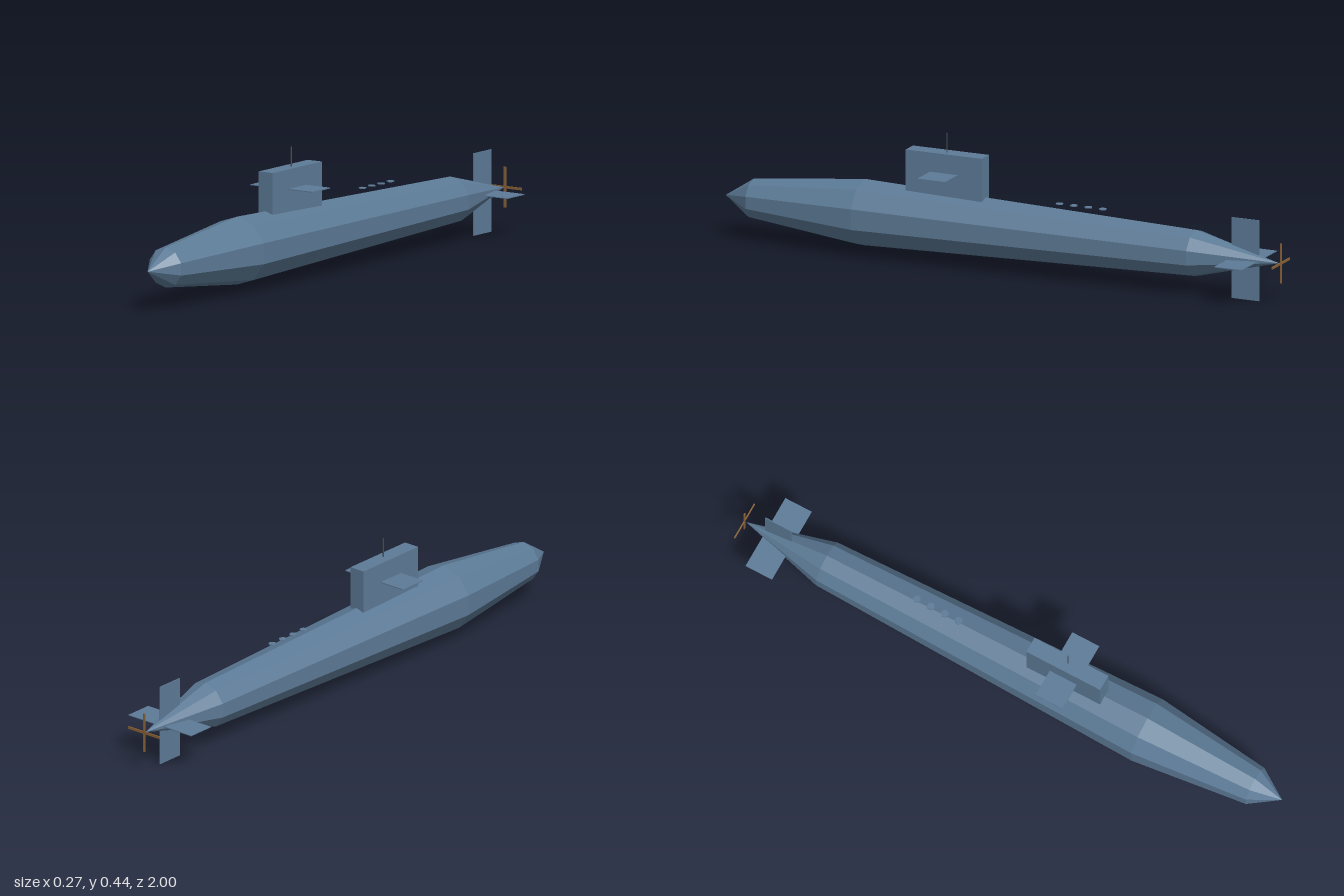
import * as THREE from 'three';

export function createModel() {
  const group = new THREE.Group();
  const material = (name, color, flatShading = false) => {
    const m = new THREE.MeshStandardMaterial({ color, flatShading });
    m.name = name;
    return m;
  };
  const steel = material('steelBlue', 0x5c7a96, true);
  const bronze = material('bronze', 0x8a6236);
  const dark = material('darkGrey', 0x4a4f55);
  const axisY = 0.136;

  const add = (name, geometry, mat, x, y, z) => {
    const mesh = new THREE.Mesh(geometry, mat);
    mesh.name = name;
    mesh.position.set(x, y, z);
    group.add(mesh);
    return mesh;
  };
  const box = (name, mat, w, h, d, x, y, z) =>
    add(name, new THREE.BoxGeometry(w, h, d), mat, x, y, z);

  // Ten-sided hull, turned from tail to nose and laid along z
  const profile = [[0, -0.99], [0.078, -0.69], [0.112, 0.5], [0.066, 0.9], [0, 1]]
    .map(([r, z]) => new THREE.Vector2(r, z));
  const hull = new THREE.LatheGeometry(profile, 10);
  hull.rotateX(Math.PI / 2);
  add('hull', hull, steel, 0, axisY, 0);

  // Sail with its diving planes and mast
  box('sail', steel, 0.056, 0.172, 0.274, 0, 0.286, 0.203);
  box('sailPlanes', steel, 0.248, 0.003, 0.1, 0, 0.306, 0.203);
  add('mast', new THREE.CylinderGeometry(0.002, 0.002, 0.086, 8), dark, 0.004, 0.395, 0.203);

  // Row of deck hatches
  for (let i = 0; i < 4; i++) {
    add('hatch', new THREE.CylinderGeometry(0.013, 0.013, 0.003, 8), steel,
      0, 0.245, -0.2 - i * 0.052);
  }

  // Tail fins
  box('rudder', steel, 0.003, 0.272, 0.098, 0, axisY, -0.869);
  box('sternPlanes', steel, 0.268, 0.003, 0.098, 0, axisY, -0.869);

  // Crossed propeller blades
  box('propellerBladeVertical', bronze, 0.008, 0.134, 0.004, 0, axisY, -0.996);
  box('propellerBladeHorizontal', bronze, 0.134, 0.008, 0.004, 0, axisY, -0.996);

  return group;
}
